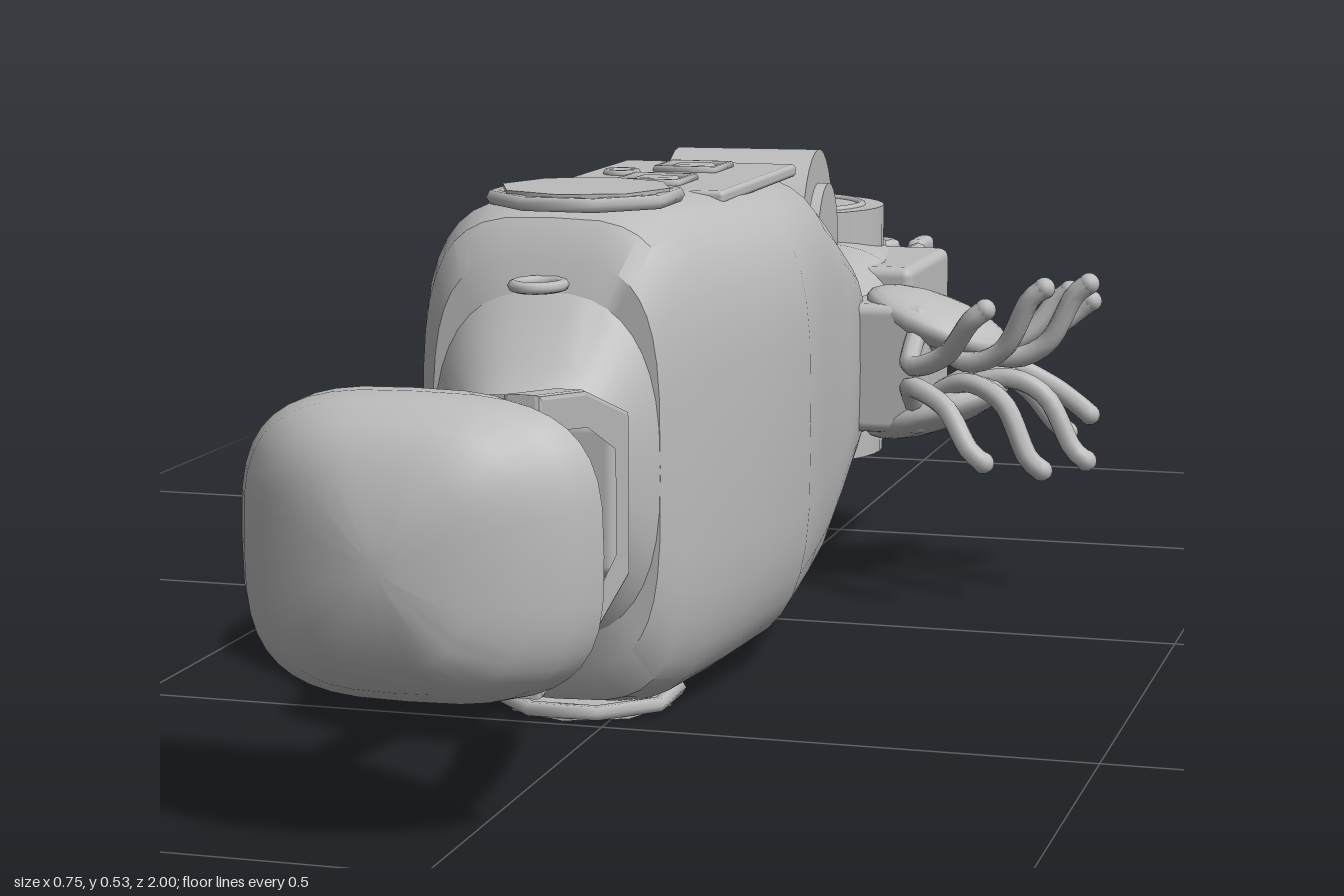
import * as THREE from 'three';
import { toCreasedNormals } from 'three/addons/utils/BufferGeometryUtils.js';
import { RoundedBoxGeometry } from 'three/addons/geometries/RoundedBoxGeometry.js';

const CY = 0.273; // mirror plane height
const grey = new THREE.MeshStandardMaterial({ color: 0xbcbcbc });
grey.name = 'grey plating';

// Skin along z through rounded cross-sections: [z, x0, x1, y0, y1], z rising
function loft(sections, power = 4, n = 40, crease = 0.6) {
  const pos = [], idx = [], rows = sections.length;
  const bend = v => Math.sign(v) * Math.pow(Math.abs(v), 2 / power);
  for (const [z, x0, x1, y0, y1] of sections)
    for (let i = 0; i < n; i++) {
      const a = (i / n) * Math.PI * 2;
      pos.push((x0 + x1) / 2 + (x1 - x0) / 2 * bend(Math.cos(a)), (y0 + y1) / 2 + (y1 - y0) / 2 * bend(Math.sin(a)), z);
    }
  for (const [z, x0, x1, y0, y1] of [sections[0], sections[rows - 1]]) pos.push((x0 + x1) / 2, (y0 + y1) / 2, z);
  for (let i = 0; i < n; i++) {
    const j = (i + 1) % n, top = (rows - 1) * n;
    for (let r = 0; r < rows - 1; r++) {
      const a = r * n + i, b = r * n + j;
      idx.push(a, b, a + n, b, b + n, a + n);
    }
    idx.push(rows * n, j, i, rows * n + 1, top + i, top + j);
  }
  const g = new THREE.BufferGeometry();
  g.setAttribute('position', new THREE.Float32BufferAttribute(pos, 3));
  g.setIndex(idx);
  return toCreasedNormals(g, crease);
}

export function createModel() {
  const model = new THREE.Group();
  const add = (name, geo, x = 0, y = 0, z = 0, rx = 0, ry = 0, rz = 0) => {
    const m = new THREE.Mesh(geo, grey);
    m.name = name;
    m.position.set(x, y, z);
    m.rotation.set(rx, ry, rz);
    model.add(m);
    return m;
  };
  const disk = (r, h, n = 32, r2 = r) => new THREE.CylinderGeometry(r, r2, h, n);
  const box = (w, h, d, r = 0.012) => new RoundedBoxGeometry(w, h, d, 2, r);
  const tube = (pts, r, seg = 16) =>
    new THREE.TubeGeometry(new THREE.CatmullRomCurve3(pts.map(p => new THREE.Vector3(...p))), seg, r, 8);

  // Torso with the neck flaring from its front
  add('torso', loft([
    [-0.23, -0.18, 0.08, 0.15, 0.40], [-0.19, -0.2, 0.105, 0.12, 0.425], [-0.1, -0.205, 0.11, 0.07, 0.475],
    [-0.02, -0.21, 0.115, 0.032, 0.512], [0.1, -0.215, 0.13, 0.027, 0.518], [0.22, -0.22, 0.143, 0.023, 0.523],
    [0.34, -0.22, 0.125, 0.018, 0.527], [0.43, -0.21, 0.105, 0.016, 0.529], [0.485, -0.19, 0.085, 0.03, 0.515],
    [0.51, -0.17, 0.065, 0.07, 0.476],
  ], 3.6));
  add('neck', loft([
    [0.49, -0.18, 0.075, 0.08, 0.465], [0.52, -0.165, 0.06, 0.11, 0.435], [0.55, -0.14, 0.035, 0.165, 0.38],
    [0.59, -0.118, 0.01, 0.195, 0.35], [0.63, -0.112, 0.015, 0.195, 0.35], [0.66, -0.11, 0.02, 0.178, 0.368],
  ], 2.6));

  // Head shell with a hollow back, and the ball inside it
  add('headShell', loft([
    [0.895, -0.16, 0.05, 0.19, 0.355], [0.84, -0.185, 0.045, 0.165, 0.385], [0.825, -0.205, 0.06, 0.15, 0.4],
    [0.86, -0.21, 0.1, 0.142, 0.406], [0.9, -0.205, 0.132, 0.136, 0.41], [0.93, -0.19, 0.115, 0.14, 0.406],
    [0.96, -0.16, 0.08, 0.155, 0.39], [0.985, -0.115, 0.035, 0.185, 0.36], [1, -0.06, -0.02, 0.25, 0.295],
  ], 3.2));
  add('headBall', new THREE.SphereGeometry(0.048, 24, 16), -0.06, CY, 0.82);
  add('ballSocket', disk(0.055, 0.06, 24), -0.06, CY, 0.86, Math.PI / 2);

  // Open frame joining neck to head, drawn in z and y
  const egg = (z0, z1, near, far) => [[z0, -near], [(z0 + z1) / 2, -far * 0.88], [z1, -far],
    [z1, far], [(z0 + z1) / 2, far * 0.88], [z0, near]].map(([z, y]) => new THREE.Vector2(-z, y));
  const frame = new THREE.Shape(egg(0.63, 0.88, 0.075, 0.13));
  frame.holes.push(new THREE.Path(egg(0.67, 0.835, 0.05, 0.096)));
  const frameGeo = new THREE.ExtrudeGeometry(frame, { depth: 0.025, bevelThickness: 0.005, bevelSize: 0.005, bevelSegments: 2 });
  add('headFrame', frameGeo, 0.04, CY, 0, 0, Math.PI / 2);
  add('neckBridge', box(0.1, 0.15, 0.035), 0.02, CY, 0.65);

  // Hatches, clips and the control panel on the torso
  for (const s of [-1, 1]) {
    add('hatch', disk(0.088, 0.014, 8), -0.045, CY + s * 0.258, 0.4);
    add('hatchRim', new THREE.TorusGeometry(0.092, 0.008, 6, 8), -0.045, CY + s * 0.255, 0.4, Math.PI / 2, 0, Math.PI / 8);
    const clip = add('neckClip', new THREE.TorusGeometry(0.021, 0.006, 8, 20), -0.05, CY + s * 0.182, 0.535, Math.PI / 2);
    clip.scale.set(1.1, 1.3, 1);
    add('shoulderDisk', disk(0.115, 0.17), -0.065, CY + s * 0.125, -0.29, 0, 0.08, Math.PI / 2);
    add('shoulderHub', disk(0.075, 0.195), -0.065, CY + s * 0.125, -0.29, 0, 0.08, Math.PI / 2);
  }
  add('controlPanel', box(0.2, 0.014, 0.3, 0.005), -0.035, 0.516, 0.13);
  for (const z of [0.065, 0.205]) {
    add('panelKey', box(0.042, 0.012, 0.036, 0.004), -0.03, 0.523, z);
    const ring = add('keyRing', new THREE.TorusGeometry(0.046, 0.005, 6, 4), -0.03, 0.525, z, Math.PI / 2, 0, Math.PI / 4);
    ring.name = 'keyRim';
  }
  add('panelDial', new THREE.TorusGeometry(0.016, 0.005, 6, 16), -0.09, 0.524, 0.135, Math.PI / 2);

  // Rear body and tail
  add('rearBody', loft([
    [-0.84, -0.075, 0.01, 0.225, 0.325], [-0.75, -0.09, 0.03, 0.22, 0.33], [-0.6, -0.13, 0.075, 0.185, 0.36],
    [-0.5, -0.15, 0.1, 0.165, 0.385], [-0.35, -0.17, 0.12, 0.155, 0.395], [-0.2, -0.18, 0.11, 0.18, 0.37],
    [-0.1, -0.17, 0.1, 0.2, 0.35],
  ], 3.2));
  add('sideBlock', box(0.1, 0.2, 0.22), 0.085, CY, -0.41);
  for (const s of [-1, 1]) {
    const y = CY + s * 0.042;
    add('tailProng', tube([[-0.04, y, -0.72], [-0.055, y, -0.85], [-0.06, y, -0.945]], 0.018), 0, 0, 0);
    add('prongEye', new THREE.TorusGeometry(0.02, 0.011, 8, 20), -0.06, y, -0.965, Math.PI / 2);
    add('tailBlade', tube([[0.06, y, -0.55], [0.035, y, -0.72], [0.01, y, -0.85], [0, y, -0.985]], 0.011));
    add('bladeTip', box(0.026, 0.03, 0.07, 0.01), 0, y, -0.965);

    // Elbow plates on the rear body
    add('elbowPlate', disk(0.118, 0.085), -0.06, CY + s * 0.112, -0.47);
    add('elbowPin', new THREE.TorusGeometry(0.033, 0.006, 8, 24), -0.06, CY + s * 0.155, -0.47, Math.PI / 2);
    add('elbowCollar', new THREE.TorusGeometry(0.09, 0.006, 8, 32), -0.06, CY + s * 0.153, -0.47, Math.PI / 2);
  }
  add('elbowCore', disk(0.1, 0.2), -0.06, CY, -0.47);

  // Side canister on its arm
  add('canisterArm', box(0.2, 0.17, 0.22, 0.03), -0.165, CY, -0.575, 0, -0.8);
  add('armKnuckle', disk(0.085, 0.18), -0.13, CY, -0.62);
  add('canister', disk(0.1, 0.18, 24), -0.265, CY, -0.66);
  add('canisterBand', disk(0.109, 0.085, 24), -0.265, CY, -0.66);
  for (const s of [-1, 1]) {
    add('canisterFlange', disk(0.102, 0.014, 24), -0.265, CY + s * 0.084, -0.66);
    add('canisterCap', disk(0.086, 0.04, 8), -0.265, CY + s * 0.091, -0.66);
  }

  // Pair of hands, each with a palm and five curled fingers
  add('wristBlock', box(0.13, 0.15, 0.13), 0.12, CY, -0.22);
  const tips = [[0.27, -0.07], [0.325, -0.135], [0.365, -0.2], [0.33, -0.275], [0.35, -0.31]];
  for (const s of [-1, 1]) {
    const palm = add('palm', new THREE.SphereGeometry(1, 24, 12), 0.185, CY + s * 0.05, -0.22, 0, 0, -s * 0.35);
    palm.scale.set(0.09, 0.028, 0.075);
    tips.forEach(([x, z], i) => {
      const root = -0.17 - i * 0.024, lift = 0.075 + 0.02 * Math.sin(i * 1.1);
      const mid = x - 0.075, zm = (root + z) / 2;
      add('finger', tube([[0.17, CY + s * 0.045, root], [mid - 0.02, CY + s * 0.012, zm],
        [mid + 0.025, CY + s * 0.03, zm + (z - root) * 0.25], [x - 0.015, CY + s * lift, z], [x, CY + s * (lift + 0.012), z]], 0.012, 18));
      add('fingertip', new THREE.SphereGeometry(0.0125, 10, 8), x, CY + s * (lift + 0.012), z);
    });
  }
  return model;
}
